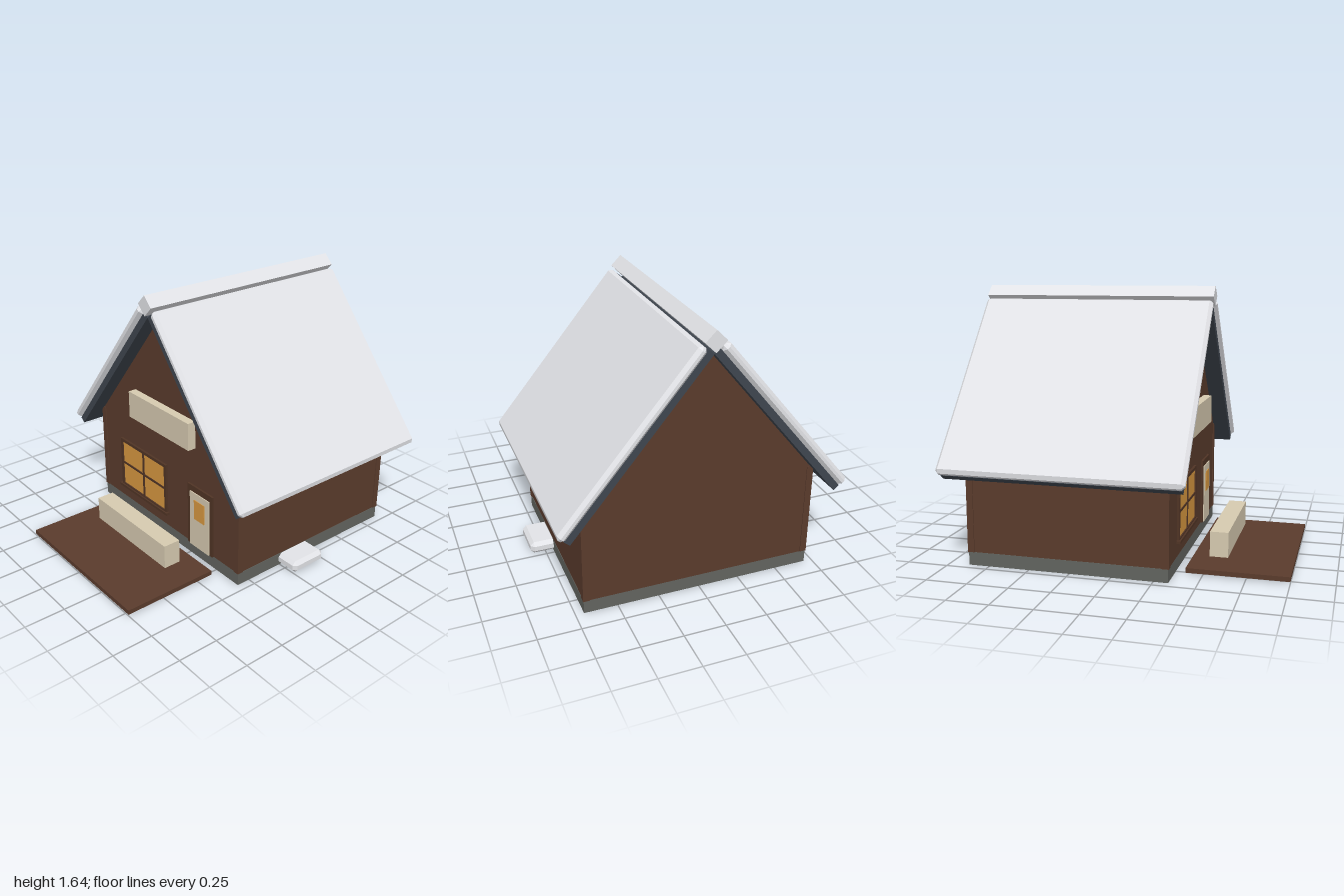
import * as THREE from 'three';
import { ConvexGeometry } from 'three/addons/geometries/ConvexGeometry.js';

const material = (name, color) => {
  const m = new THREE.MeshStandardMaterial({ color });
  m.name = name;
  return m;
};

// Box with every edge cut off at 45 degrees
function chamferedBox(w, h, d, c) {
  const points = [];
  for (const x of [-1, 1]) for (const y of [-1, 1]) for (const z of [-1, 1]) {
    for (const [a, b, e] of [[0, c, c], [c, 0, c], [c, c, 0]]) {
      points.push(new THREE.Vector3(x * (w / 2 - a), y * (h / 2 - b), z * (d / 2 - e)));
    }
  }
  return new ConvexGeometry(points);
}

export function createModel() {
  const wood = material('wall wood', 0x5a3b2c);
  const trim = material('trim wood', 0x503425);
  const stone = material('foundation stone', 0x62645f);
  const roofDark = material('roof slate', 0x3f464f);
  const snow = material('snow', 0xe6e7eb);
  const cream = material('cream board', 0xd6cab0);
  const glow = material('lit glass', 0xd89840);

  const house = new THREE.Group();
  house.name = 'cabin';
  const add = (name, geometry, mat, parent = house) => {
    const mesh = new THREE.Mesh(geometry, mat);
    mesh.name = name;
    parent.add(mesh);
    return mesh;
  };
  // Box given by its limits on each axis
  const box = (name, mat, x0, x1, y0, y1, z0, z1, parent) => {
    const mesh = add(name, new THREE.BoxGeometry(x1 - x0, y1 - y0, z1 - z0), mat, parent);
    mesh.position.set((x0 + x1) / 2, (y0 + y1) / 2, (z0 + z1) / 2);
    return mesh;
  };

  const zMid = -0.27, back = -0.877, front = 0.337;
  const pitch = Math.atan2(0.85, 0.7), apex = 1.5;

  // Foundation and gabled walls
  box('foundation', stone, -0.7, 0.7, 0, 0.08, back, front);
  const gable = new THREE.Shape([[-0.698, 0.08], [0.698, 0.08], [0.698, 0.65], [0, apex], [-0.698, 0.65]]
    .map(([x, y]) => new THREE.Vector2(x, y)));
  const walls = add('walls', new THREE.ExtrudeGeometry(gable, { depth: front - back, bevelEnabled: false }), wood);
  walls.position.z = back;

  // Corner posts
  for (const s of [-1, 1]) {
    for (const z of [0.322, -0.862]) {
      const post = box('cornerPost', wood, -0.02, 0.02, 0.08, 0.67, -0.02, 0.02);
      post.position.x = s * 0.684;
      post.position.z = z;
    }
  }

  // Roof slopes, each a slate panel under a layer of snow
  for (const turn of [0, Math.PI]) {
    const side = new THREE.Group();
    side.name = turn ? 'rightRoof' : 'leftRoof';
    side.position.set(0, apex, zMid);
    side.rotation.y = turn;
    const slope = new THREE.Group();
    slope.name = 'roofSlope';
    slope.rotation.z = -pitch;
    side.add(slope);
    box('roofPanel', roofDark, 0, 1.243, 0, 0.042, -0.71, 0.71, slope);
    const cover = add('roofSnow', chamferedBox(1.25, 0.058, 1.46, 0.02), snow, slope);
    cover.position.set(0.625, 0.071, 0);
    house.add(side);
  }
  const ridge = add('ridgeSnow', new THREE.BoxGeometry(0.088, 0.088, 1.46), snow);
  ridge.position.set(0, 1.574, zMid);
  ridge.rotation.z = Math.PI / 4;

  // Frame of four bars around an opening
  const frame = (name, x0, x1, y0, y1, w, top, bottom, z) => {
    box(name, trim, x0, x0 + w, y0, y1, 0.33, z);
    box(name, trim, x1 - w, x1, y0, y1, 0.33, z);
    box(name, trim, x0 + w, x1 - w, y1 - top, y1, 0.33, z);
    if (bottom) box(name, trim, x0 + w, x1 - w, y0, y0 + bottom, 0.33, z);
  };

  // Window with crossbars and sill
  frame('windowFrame', -0.478, 0.018, 0.17, 0.52, 0.02, 0.02, 0.02, 0.352);
  box('windowGlass', glow, -0.458, -0.002, 0.19, 0.5, 0.338, 0.344);
  box('windowBar', trim, -0.237, -0.223, 0.19, 0.5, 0.338, 0.35);
  box('windowBar', trim, -0.458, -0.002, 0.338, 0.352, 0.338, 0.349);
  box('windowSill', trim, -0.492, 0.03, 0.163, 0.18, 0.33, 0.362);

  // Door with a small pane
  frame('doorFrame', 0.24, 0.477, 0.08, 0.497, 0.028, 0.04, 0, 0.35);
  box('door', cream, 0.268, 0.449, 0.08, 0.457, 0.33, 0.356);
  box('doorPane', glow, 0.312, 0.408, 0.28, 0.412, 0.355, 0.36);

  // Blank board on the gable
  box('gableBoard', cream, -0.302, 0.302, 0.75, 0.925, 0.33, 0.39);

  // Front deck and bench
  box('deck', wood, -0.53, 0.53, 0.008, 0.036, 0.4, 1);
  box('bench', cream, -0.36, 0.36, 0.06, 0.212, 0.51, 0.62);

  // Snow drift against the side wall
  const drift = add('snowDrift', chamferedBox(0.28, 0.075, 0.245, 0.022), snow);
  drift.position.set(0.702, 0.041, -0.115);

  return house;
}
